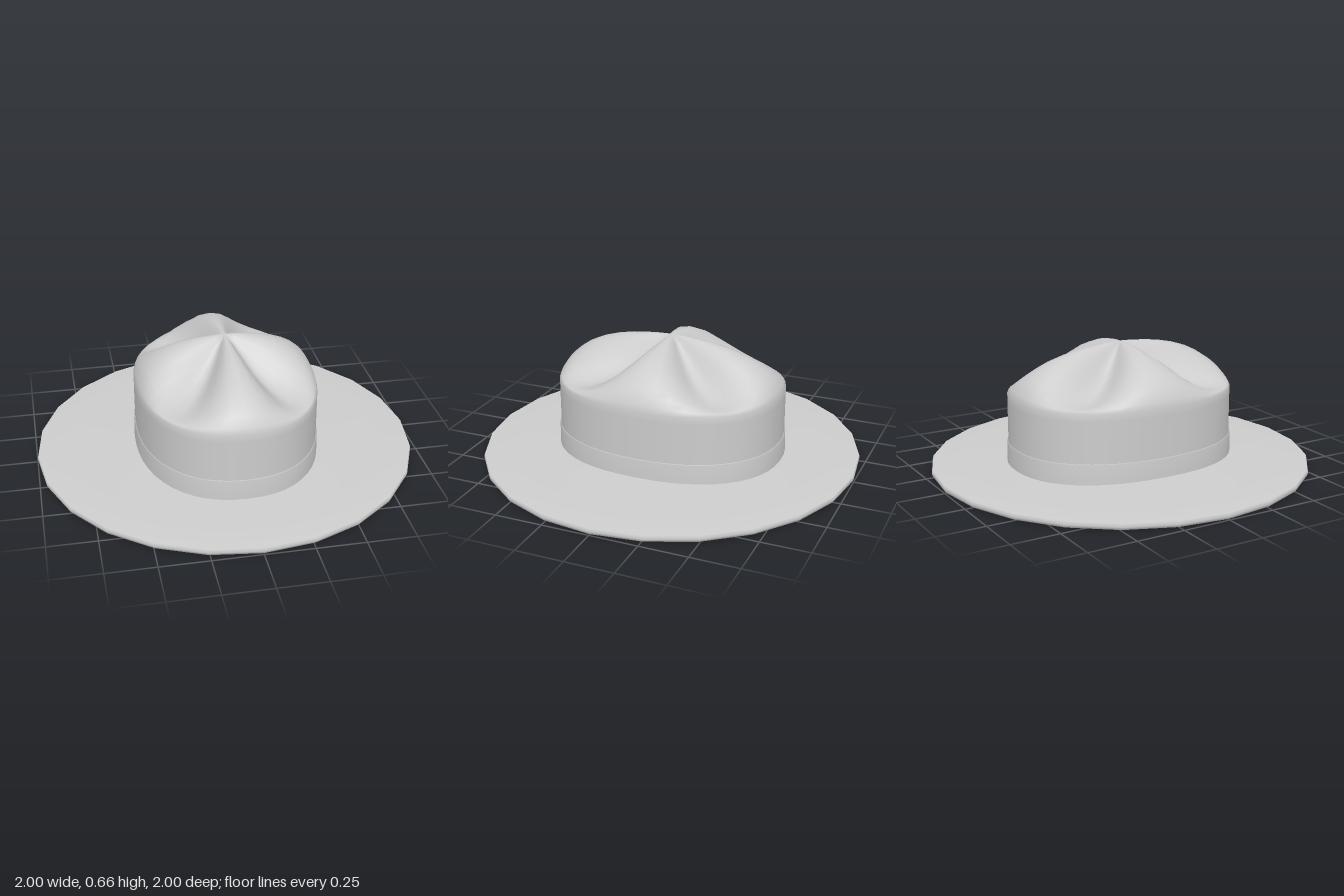
import * as THREE from 'three';

const SEGMENTS = 48;
const HALF_WIDTH = 0.47, HALF_DEPTH = 0.6;

// Point on the slightly squared oval that the crown follows
function oval(angle, scale, y, grow = 0) {
  const bend = (v) => Math.sign(v) * Math.pow(Math.abs(v), 0.9);
  return [
    (HALF_WIDTH + grow) * scale * bend(Math.cos(angle)), y,
    (HALF_DEPTH + grow) * scale * bend(Math.sin(angle)),
  ];
}

// Skin a stack of closed rings, listed from bottom to top, with an optional apex
function loft(rings, apex) {
  const positions = rings.flat(2), index = [];
  const at = (i, j) => i * SEGMENTS + (j % SEGMENTS);
  for (let i = 0; i < rings.length - 1; i++) {
    for (let j = 0; j < SEGMENTS; j++) {
      index.push(at(i, j), at(i + 1, j), at(i, j + 1));
      index.push(at(i, j + 1), at(i + 1, j), at(i + 1, j + 1));
    }
  }
  if (apex) {
    const tip = rings.length * SEGMENTS;
    positions.push(...apex);
    for (let j = 0; j < SEGMENTS; j++) index.push(at(rings.length - 1, j), tip, at(rings.length - 1, j + 1));
  }
  const geometry = new THREE.BufferGeometry();
  geometry.setAttribute('position', new THREE.Float32BufferAttribute(positions, 3));
  geometry.setIndex(index);
  geometry.computeVertexNormals();
  return geometry;
}

function ring(shape) {
  return Array.from({ length: SEGMENTS }, (_, j) => shape((j / SEGMENTS) * Math.PI * 2));
}

export function createModel() {
  const hat = new THREE.Group();
  hat.name = 'hat';
  const felt = new THREE.MeshStandardMaterial({ color: 0xcccccc });
  felt.name = 'felt grey';
  const add = (name, geometry) => {
    const mesh = new THREE.Mesh(geometry, felt);
    mesh.name = name;
    hat.add(mesh);
  };

  // Wide flat brim with a rounded lip and a shallow hollow underneath
  const brimProfile = [
    [0, 0.025], [0.5, 0.025], [0.85, 0.02], [0.97, 0], [0.995, 0.004],
    [1, 0.018], [0.995, 0.035], [0.8, 0.041], [0.62, 0.047], [0.45, 0.056],
  ].map(([r, y]) => new THREE.Vector2(r, y));
  add('brim', new THREE.LatheGeometry(brimProfile, 24));

  // Crown: upright wall, then a dome pinched in four diagonal dents.
  // Each dome row: fraction of the radius, ridge height, valley height
  const dome = [
    [1, 0.41, 0.41], [0.98, 0.445, 0.418], [0.93, 0.49, 0.42], [0.87, 0.522, 0.42],
    [0.78, 0.56, 0.42], [0.67, 0.592, 0.432], [0.53, 0.62, 0.455], [0.38, 0.64, 0.498],
    [0.25, 0.65, 0.555], [0.12, 0.657, 0.617],
  ];
  const rings = [0.04, 0.16, 0.28, 0.37].map((y) => ring((a) => oval(a, 1, y)));
  for (const [t, ridge, valley] of dome) {
    rings.push(ring((a) => {
      const dent = Math.pow(Math.abs(Math.sin(2 * a)), 2.2);
      return oval(a, t, THREE.MathUtils.lerp(ridge, valley, dent));
    }));
  }
  add('crown', loft(rings, [0, 0.66, 0]));

  // Hat band around the foot of the crown
  add('band', loft([
    ring((a) => oval(a, 1, 0.045, 0.008)),
    ring((a) => oval(a, 1, 0.152, 0.006)),
    ring((a) => oval(a, 1, 0.156, -0.002)),
  ]));

  return hat;
}
